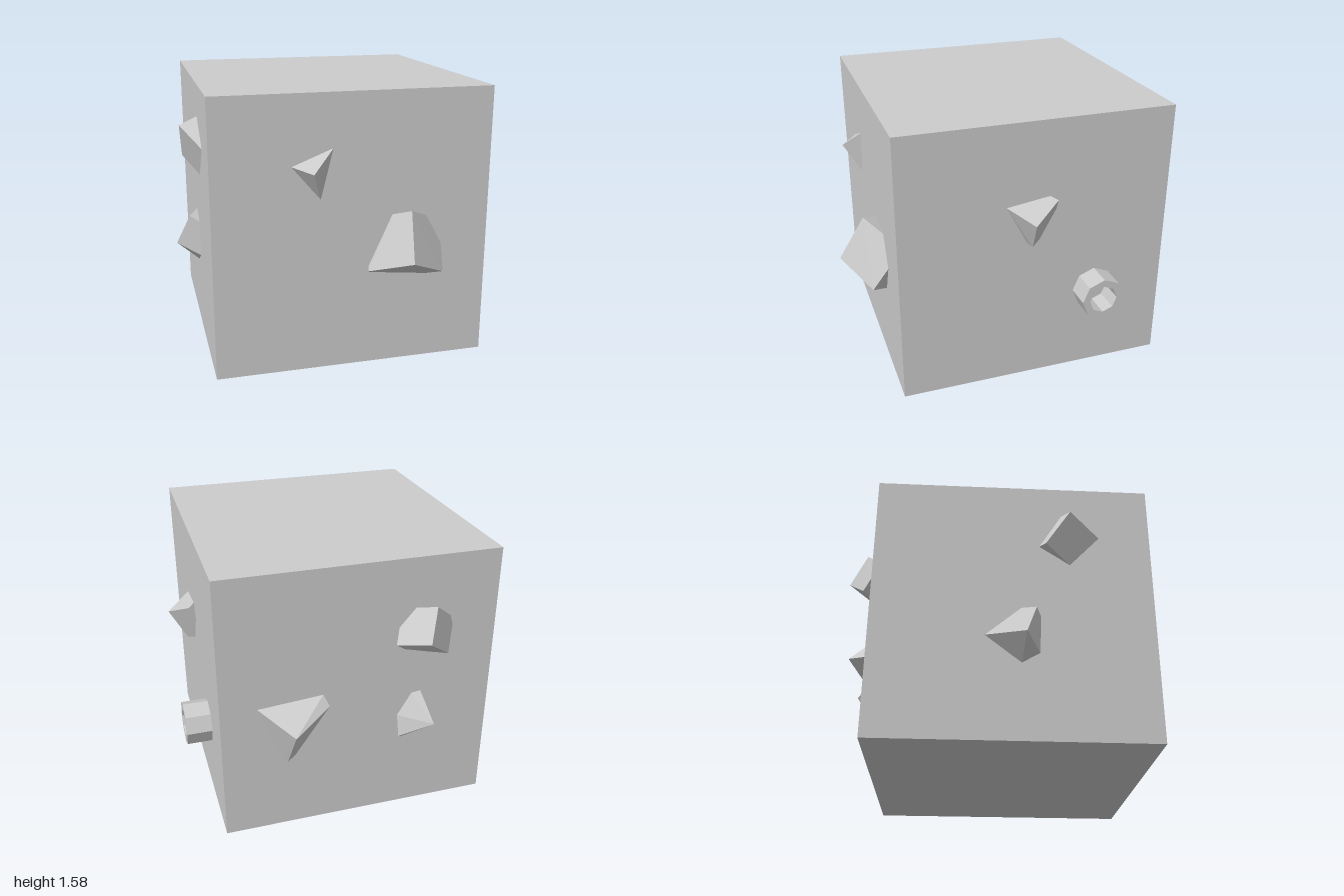
import * as THREE from 'three';
import { ConvexGeometry } from 'three/addons/geometries/ConvexGeometry.js';

const material = new THREE.MeshStandardMaterial({ color: 0xcccccc, flatShading: true });
const LEFT = 0.78, RIGHT = -0.795, FRONT = 0.765, BACK = -0.81, HEIGHT = 1.58;

function add(group, name, geometry) {
  const mesh = new THREE.Mesh(geometry, material);
  mesh.name = name;
  group.add(mesh);
  return mesh;
}

// Corner of a tilted block poking out of a wall: peaks are 3D points,
// rim holds the outline on the wall as (x, y) or (z, y) pairs.
function addStud(group, name, axis, wall, peaks, rim) {
  const points = peaks.map((p) => new THREE.Vector3(...p));
  for (const [a, y] of rim) {
    points.push(axis === 'z' ? new THREE.Vector3(a, y, wall) : new THREE.Vector3(wall, y, a));
  }
  add(group, name, new ConvexGeometry(points));
}

function octagon(path, radius) {
  for (let i = 0; i < 8; i++) {
    const a = (i * Math.PI) / 4;
    path[i ? 'lineTo' : 'moveTo'](radius * Math.cos(a), radius * Math.sin(a));
  }
  path.closePath();
  return path;
}

export function createModel() {
  const group = new THREE.Group();
  group.name = 'studdedCube';

  // Main cube
  const body = add(group, 'body', new THREE.BoxGeometry(LEFT - RIGHT, HEIGHT, FRONT - BACK));
  body.position.set((LEFT + RIGHT) / 2, HEIGHT / 2, (FRONT + BACK) / 2);

  // Front studs
  addStud(group, 'frontSmallStud', 'z', FRONT, [[-0.26, 1.165, 0.865]],
    [[-0.36, 1.19], [-0.13, 1.28], [-0.2, 1.0]]);
  addStud(group, 'frontLargeStud', 'z', FRONT,
    [[0.26, 0.67, 1.0], [0.29, 0.925, 0.855], [0.485, 0.555, 0.855], [0.07, 0.57, 0.79]],
    [[0.08, 0.555], [0.42, 0.515], [0.505, 0.69], [0.41, 0.865], [0.21, 0.885], [0.075, 0.59]]);

  // Left side stud
  addStud(group, 'leftStud', 'x', LEFT,
    [[0.92, 1.04, 0.04], [0.815, 1.125, -0.125], [0.82, 0.865, 0.02]],
    [[0.16, 1.105], [-0.09, 1.14], [-0.13, 1.06], [-0.035, 0.885], [0.04, 0.875]]);

  // Right side studs
  addStud(group, 'rightUpperStud', 'x', RIGHT,
    [[-0.9, 1.35, 0.295], [-0.88, 1.145, 0.155]],
    [[0.255, 1.388], [0.47, 1.245], [0.297, 1.058], [0.125, 1.175]]);
  addStud(group, 'rightLowerStud', 'x', RIGHT,
    [[-0.93, 0.565, 0.04], [-0.85, 0.752, 0.1]],
    [[-0.18, 0.6], [0.02, 0.44], [0.12, 0.5], [0.128, 0.72], [0.02, 0.772]]);

  // Back studs
  addStud(group, 'backLargeStud', 'z', BACK,
    [[0.41, 0.71, -1.0], [0.18, 0.78, -0.85], [0.42, 0.455, -0.845]],
    [[0.575, 0.805], [0.205, 0.835], [0.19, 0.72], [0.365, 0.47], [0.45, 0.47]]);
  addStud(group, 'backUpperStud', 'z', BACK,
    [[-0.33, 1.155, -1.0], [-0.4, 1.32, -0.895], [-0.19, 1.105, -0.86], [-0.48, 1.03, -0.895]],
    [[-0.315, 1.29], [-0.52, 1.215], [-0.535, 1.16], [-0.395, 1.01], [-0.223, 1.184], [-0.26, 1.045]]);
  addStud(group, 'backLowerStud', 'z', BACK,
    [[-0.4, 0.62, -0.955], [-0.24, 0.49, -0.835]],
    [[-0.317, 0.756], [-0.37, 0.762], [-0.535, 0.578], [-0.264, 0.466], [-0.235, 0.62]]);

  // Hollow octagonal socket on the left side
  const ring = octagon(new THREE.Shape(), 0.127);
  ring.holes.push(octagon(new THREE.Path(), 0.083));
  const socket = add(group, 'socket',
    new THREE.ExtrudeGeometry(ring, { depth: 0.145, bevelEnabled: false }));
  socket.rotation.y = Math.PI / 2;
  socket.position.set(LEFT, 0.51, -0.38);

  return group;
}
